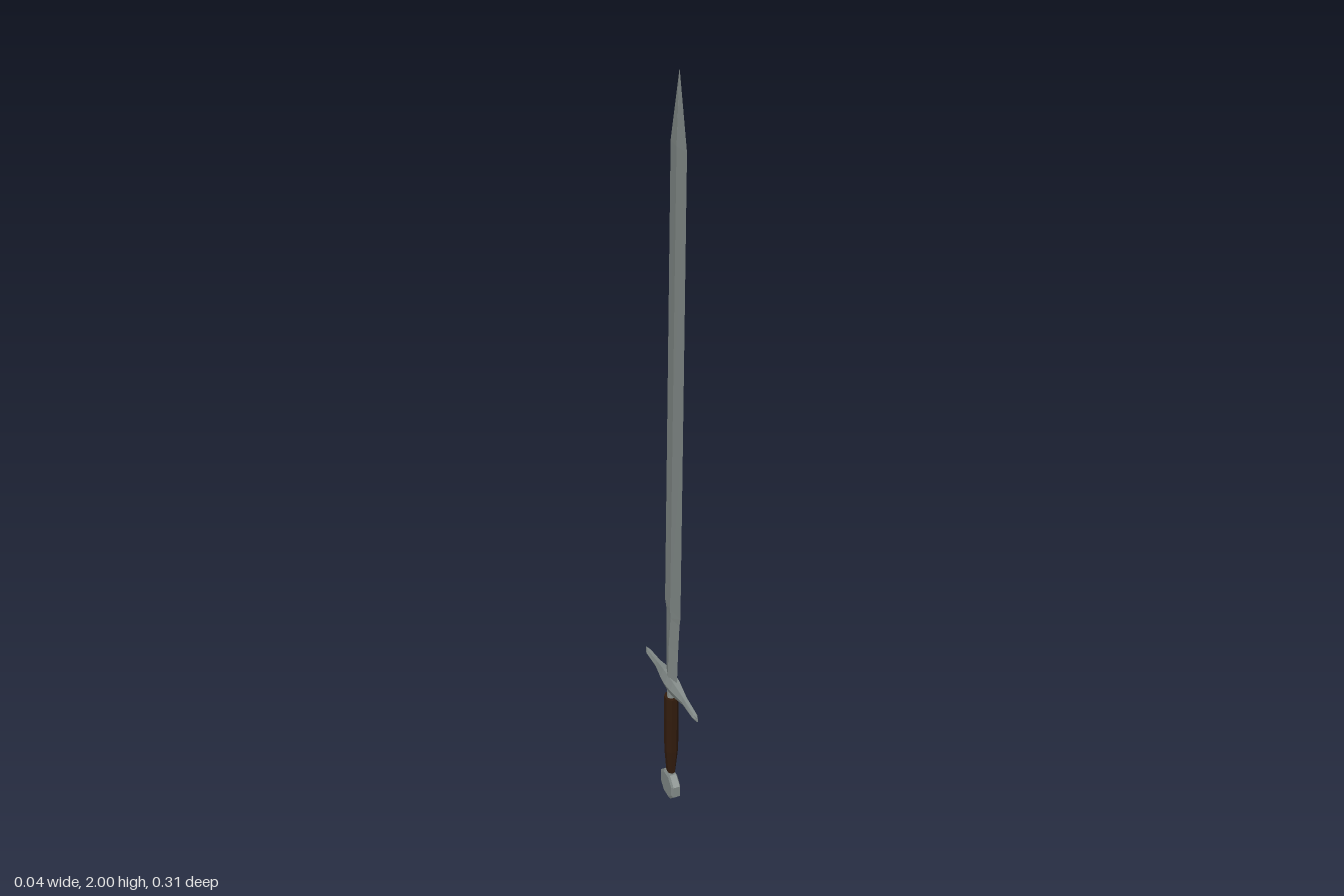
import * as THREE from 'three';

// Faceted skin over a row of rings, each running counter-clockwise about the axis, with closed ends
function loft(rings) {
  const n = rings[0].length, index = [];
  for (let i = 0; i < rings.length - 1; i++) {
    for (let j = 0; j < n; j++) {
      const a = i * n + j, b = i * n + (j + 1) % n;
      index.push(a, b, b + n, a, b + n, a + n);
    }
  }
  const last = (rings.length - 1) * n;
  for (let j = 1; j < n - 1; j++) {
    index.push(0, j + 1, j);
    index.push(last, last + j, last + j + 1);
  }
  const shared = new THREE.BufferGeometry();
  shared.setAttribute('position', new THREE.Float32BufferAttribute(rings.flat(2), 3));
  shared.setIndex(index);
  const geometry = shared.toNonIndexed();
  geometry.computeVertexNormals();
  return geometry;
}

// Upright ring with the given half widths
function upright(y, halfX, halfZ, sides, z = 0) {
  return Array.from({ length: sides }, (_, i) => {
    const t = ((i + 0.5) / sides) * Math.PI * 2;
    return [halfX * Math.sin(t), y, z + halfZ * Math.cos(t)];
  });
}

export function createModel() {
  const group = new THREE.Group();
  const steel = new THREE.MeshStandardMaterial({ color: 0x838b89 });
  const leather = new THREE.MeshStandardMaterial({ color: 0x321c0d });
  steel.name = 'steel';
  leather.name = 'leather';
  const add = (name, geometry, material) => {
    const mesh = new THREE.Mesh(geometry, material);
    mesh.name = name;
    group.add(mesh);
  };

  // Blade: leaning diamond sections [y, front edge z, back edge z, half thickness]
  const bladeSections = [
    [0.40, 0.034, -0.029, 0.011],
    [0.52, 0.041, -0.028, 0.010],
    [0.61, 0.049, -0.027, 0.007],
    [0.635, 0.054, -0.037, 0.007],
    [1.20, 0.065, -0.021, 0.006],
    [1.84, 0.077, -0.003, 0.005],
    [2.00, 0.041, 0.039, 0.0005],
  ];
  add('blade', loft(bladeSections.map(([y, front, back, thick]) => {
    const ridge = (front + back) / 2;
    return [[0, y, front], [thick, y, ridge], [0, y, back], [-thick, y, ridge]];
  })), steel);

  // Crossguard: hexagonal sections along z [z, bottom y, top y, half width]
  const halfGuard = [
    [0.03, 0.372, 0.419, 0.017],
    [0.08, 0.383, 0.408, 0.009],
    [0.14, 0.384, 0.400, 0.008],
    [0.157, 0.386, 0.397, 0.001],
  ];
  const guardSections = [
    ...halfGuard.map(([z, ...rest]) => [-z, ...rest]).reverse(),
    [0, 0.370, 0.421, 0.019],
    ...halfGuard,
  ];
  add('crossguard', loft(guardSections.map(([z, low, high, w]) => {
    const mid = (low + high) / 2;
    return [[w, mid, z], [w * 0.5, high, z], [-w * 0.5, high, z],
      [-w, mid, z], [-w * 0.5, low, z], [w * 0.5, low, z]];
  })), steel);

  // Collar between grip and guard, and the tang into the pommel
  add('collar', loft([upright(0.34, 0.012, 0.012, 8), upright(0.38, 0.01, 0.01, 8)]), steel);
  add('tang', loft([upright(0.07, 0.01, 0.012, 8, -0.003), upright(0.1, 0.009, 0.012, 8, -0.002)]), steel);

  // Tapered grip
  add('grip', loft([
    upright(0.092, 0.011, 0.016, 8, -0.003),
    upright(0.17, 0.018, 0.019, 8),
    upright(0.28, 0.019, 0.021, 8),
    upright(0.35, 0.018, 0.021, 8),
  ]), leather);

  // Octagonal disc pommel with bevelled rims
  const pommelSections = [[-0.013, 0.036], [-0.009, 0.044], [0.009, 0.044], [0.013, 0.036]];
  add('pommel', loft(pommelSections.map(([x, r]) => Array.from({ length: 8 }, (_, i) => {
    const t = ((i + 0.5) / 8) * Math.PI * 2;
    return [x, 0.045 + r * Math.cos(t), -0.005 + r * Math.sin(t)];
  }))), steel);

  return group;
}
